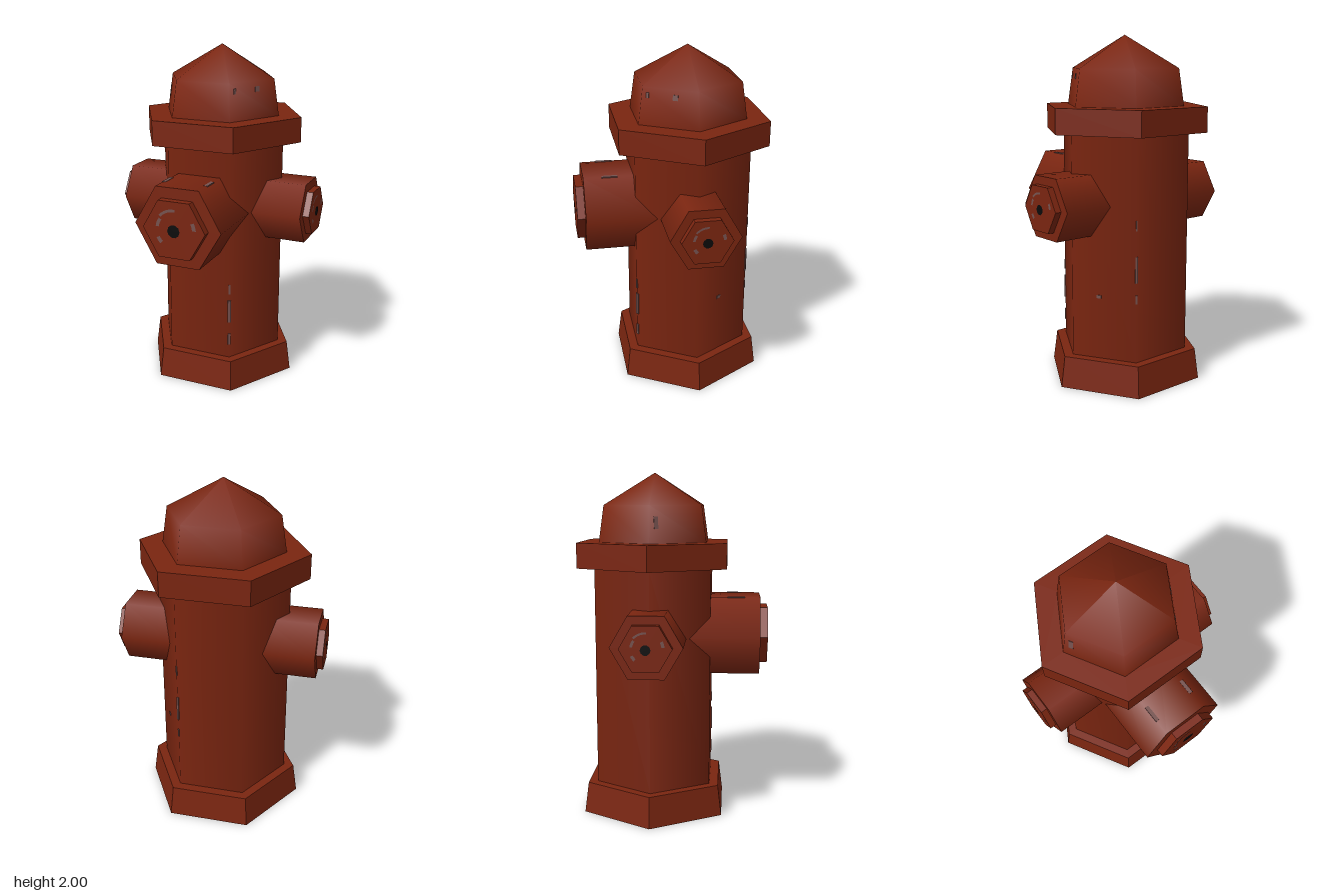
import * as THREE from 'three';

export function createModel() {
  const model = new THREE.Group();
  const AXIS_Z = -0.12, HEX = Math.PI / 6;
  const red = new THREE.MeshStandardMaterial({ name: 'rustRed', color: 0x7a2510, side: THREE.DoubleSide });
  const grey = new THREE.MeshStandardMaterial({ name: 'bareMetal', color: 0x75524f, side: THREE.DoubleSide });
  const black = new THREE.MeshStandardMaterial({ name: 'holeBlack', color: 0x0a0a0a, side: THREE.DoubleSide });

  const add = (name, geometry, material, parent) => {
    const mesh = new THREE.Mesh(geometry, material);
    mesh.name = name;
    parent.add(mesh);
    return mesh;
  };

  // Six-sided shell from a bottom-to-top profile, with a corner on +x
  const hexLathe = (profile) =>
    new THREE.LatheGeometry(profile.map(([r, y]) => new THREE.Vector2(r, y)), 6, HEX);
  const faceted = (geometry) => {
    const flat = geometry.toNonIndexed();
    flat.computeVertexNormals();
    return flat;
  };

  // Column: open from below, everything around one upright axis
  const column = new THREE.Group();
  column.name = 'column';
  column.position.z = AXIS_Z;
  model.add(column);
  add('base', faceted(hexLathe([[0.47, 0], [0.445, 0.18], [0.385, 0.18]])), red, column);
  add('barrel', hexLathe([[0.385, 0.18], [0.385, 1.46]]), red, column);
  add('rim', faceted(hexLathe([[0.385, 1.46], [0.492, 1.46], [0.492, 1.605], [0.35, 1.605]])), red, column);
  add('bonnet', hexLathe([[0.355, 1.605], [0.323, 1.815], [0, 2]]), red, column);

  // Hexagonal prism lying along z from z0 to z1
  const prism = (r, z0, z1) =>
    new THREE.CylinderGeometry(r, r, z1 - z0, 6, 1, false, HEX)
      .rotateX(Math.PI / 2).translate(0, 0, (z0 + z1) / 2);

  // Outlet: smooth pipe, faceted nut, hole and worn patches on the face
  const outlet = (name, turn, pipeR, start, end, nutR, tip) => {
    const group = new THREE.Group();
    group.name = name;
    group.position.set(0, 1.065, 0);
    group.rotation.y = turn;
    column.add(group);
    add('outletPipe', prism(pipeR, start, end), red, group);
    add('outletNut', faceted(prism(nutR, end - 0.01, tip)), red, group);
    add('outletHole', new THREE.CircleGeometry(nutR * 0.2, 10), black, group).position.set(0, -0.005, tip + 0.003);
    const arcs = [[0.56, 0.64, 1.5, 0.9], [0.48, 0.58, 2.5, 0.5], [0.5, 0.62, 3.6, 0.35], [0.6, 0.72, 0.1, 0.35]];
    for (const [inner, outer, from, sweep] of arcs) {
      add('wornPatch', new THREE.RingGeometry(nutR * inner, nutR * outer, 6, 1, from, sweep), grey, group)
        .position.z = tip + 0.002;
    }
    return group;
  };
  const front = outlet('frontOutlet', 0, 0.26, 0.2, 0.62, 0.187, 0.665);
  outlet('leftOutlet', Math.PI / 2, 0.2, 0.25, 0.563, 0.145, 0.6);
  outlet('rightOutlet', -Math.PI / 2, 0.2, 0.25, 0.563, 0.145, 0.6);

  // Chips along the top edges of the front outlet
  for (const [x, z, length] of [[-0.125, 0.48, 0.1], [0.123, 0.47, 0.09]]) {
    add('pipeChip', new THREE.BoxGeometry(0.022, 0.006, length), grey, front)
      .position.set(x, 0.224, z);
  }

  // Long scratches on the barrel corners: angle, height, length, width
  const scratches = [
    [HEX, 0.48, 0.14, 0.02], [HEX, 0.3, 0.07, 0.016], [HEX, 0.62, 0.06, 0.01],
    [5 * HEX, 0.72, 0.15, 0.014], [5 * HEX, 0.97, 0.06, 0.008], [5 * HEX, 0.55, 0.05, 0.01],
  ];
  for (const [angle, y, length, width] of scratches) {
    const mesh = add('barrelScratch', new THREE.BoxGeometry(width, length, 0.008), grey, column);
    mesh.position.set(0.383 * Math.sin(angle), y, 0.383 * Math.cos(angle));
    mesh.rotation.y = angle;
  }

  // Small chips lying on flat sides: face angle, offset along the face, distance, height, width, length, tilt
  const chips = [
    [4 * HEX, -0.03, 0.334, 0.545, 0.028, 0.018, 0],
    [10 * HEX, -0.13, 0.292, 1.72, 0.025, 0.07, -0.13],
    [2 * HEX, -0.13, 0.286, 1.77, 0.015, 0.03, -0.13],
    [2 * HEX, 0.03, 0.286, 1.77, 0.03, 0.03, -0.13],
  ];
  for (const [angle, offset, distance, y, width, length, tilt] of chips) {
    const pivot = new THREE.Group();
    pivot.name = 'chip';
    pivot.rotation.y = angle;
    column.add(pivot);
    const mesh = add('chipPlate', new THREE.BoxGeometry(width, length, 0.006), grey, pivot);
    mesh.position.set(offset, y, distance);
    mesh.rotation.x = tilt;
  }

  return model;
}
